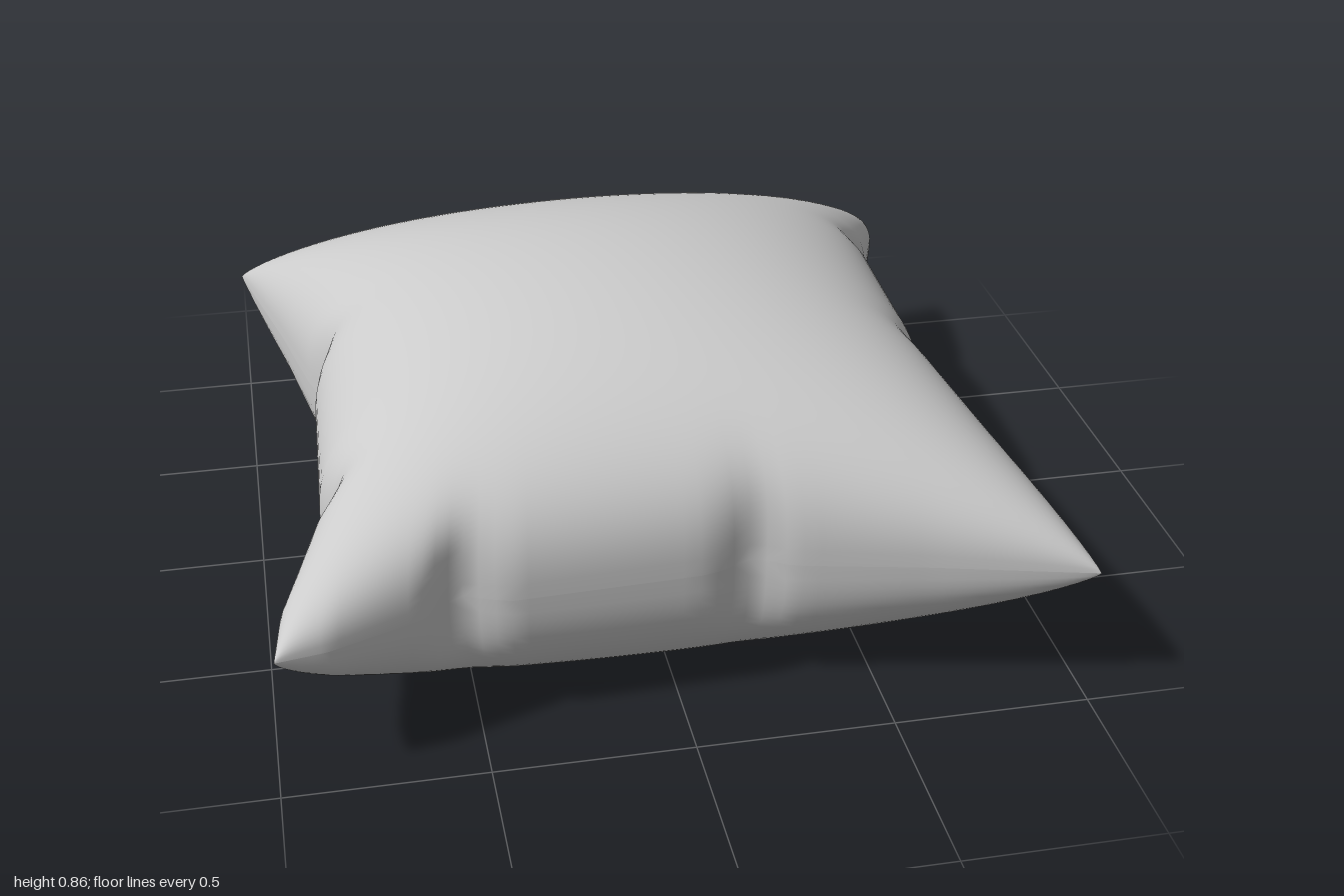
import * as THREE from 'three';

const SEAM_Y = 0.38;   // height of the seam above the floor
const PUFF = 0.48;     // rise of the upper panel above the seam
const N = 72;          // grid cells along each side

// One pillow edge: distance from the centre along the side, with two puckers
const EDGE = [[-1, 0.995], [-0.6, 0.895], [-0.27, 0.825], [-0.19, 0.775], [-0.07, 0.825],
  [0.43, 0.845], [0.55, 0.8], [0.64, 0.88], [0.87, 0.965], [1, 0.985]];

function edgeAt(t) {
  const k = Math.max(1, EDGE.findIndex(([p]) => p >= t - 1e-9));
  const [t0, d0] = EDGE[k - 1], [t1, d1] = EDGE[k];
  return THREE.MathUtils.lerp(d0, d1, (t - t0) / (t1 - t0));
}

// Smooth bowed side inside the cloth; the puckers fade in towards the seam
const bow = (t) => 0.825 + 0.165 * t * t;
function spread(a, t) {
  const fade = Math.pow(Math.abs(a), 11);
  return a * (bow(t) + fade * (edgeAt(t) - bow(t)));
}

// Round in the middle of the sides, tapering to points at the corners
function puff(u, v) {
  const q = 0.38 + 0.04 * u * u * v * v;
  return PUFF * Math.pow(Math.max(0, (1 - u * u) * (1 - v * v)), q);
}

// Lower panel: a slightly fuller bulge, pressed flat where it meets the floor
function sag(u, v) {
  const h = 1.05 * puff(u, v), soft = 0.03;
  const over = h - SEAM_Y;
  if (over > soft) return SEAM_Y;
  if (over < -soft) return h;
  return h - (over + soft) ** 2 / (4 * soft);
}

function panel(name, isTop, material) {
  const pos = [], index = [];
  const grid = (i) => Math.sin((i / N - 0.5) * Math.PI); // finer near the seam
  for (let j = 0; j <= N; j++) {
    for (let i = 0; i <= N; i++) {
      const u = grid(i), v = grid(j);
      // the edges mirror each other across the diagonals
      const x = spread(u, u > 0 ? -v : v);
      const z = spread(v, v > 0 ? -u : u);
      pos.push(x, SEAM_Y + (isTop ? puff(u, v) : -sag(u, v)), z);
      if (i < N && j < N) {
        const a = j * (N + 1) + i, b = a + N + 1, c = a + 1, d = b + 1;
        if (isTop) index.push(a, b, c, b, d, c);
        else index.push(a, c, b, b, c, d);
      }
    }
  }
  const geo = new THREE.BufferGeometry();
  geo.setAttribute('position', new THREE.Float32BufferAttribute(pos, 3));
  geo.setIndex(index);
  geo.computeVertexNormals();
  const mesh = new THREE.Mesh(geo, material);
  mesh.name = name;
  return mesh;
}

export function createModel() {
  const group = new THREE.Group();
  group.name = 'pillow';
  const cloth = new THREE.MeshStandardMaterial({ color: 0xcccccc, side: THREE.DoubleSide });
  group.add(panel('upperPanel', true, cloth), panel('lowerPanel', false, cloth));
  return group;
}
